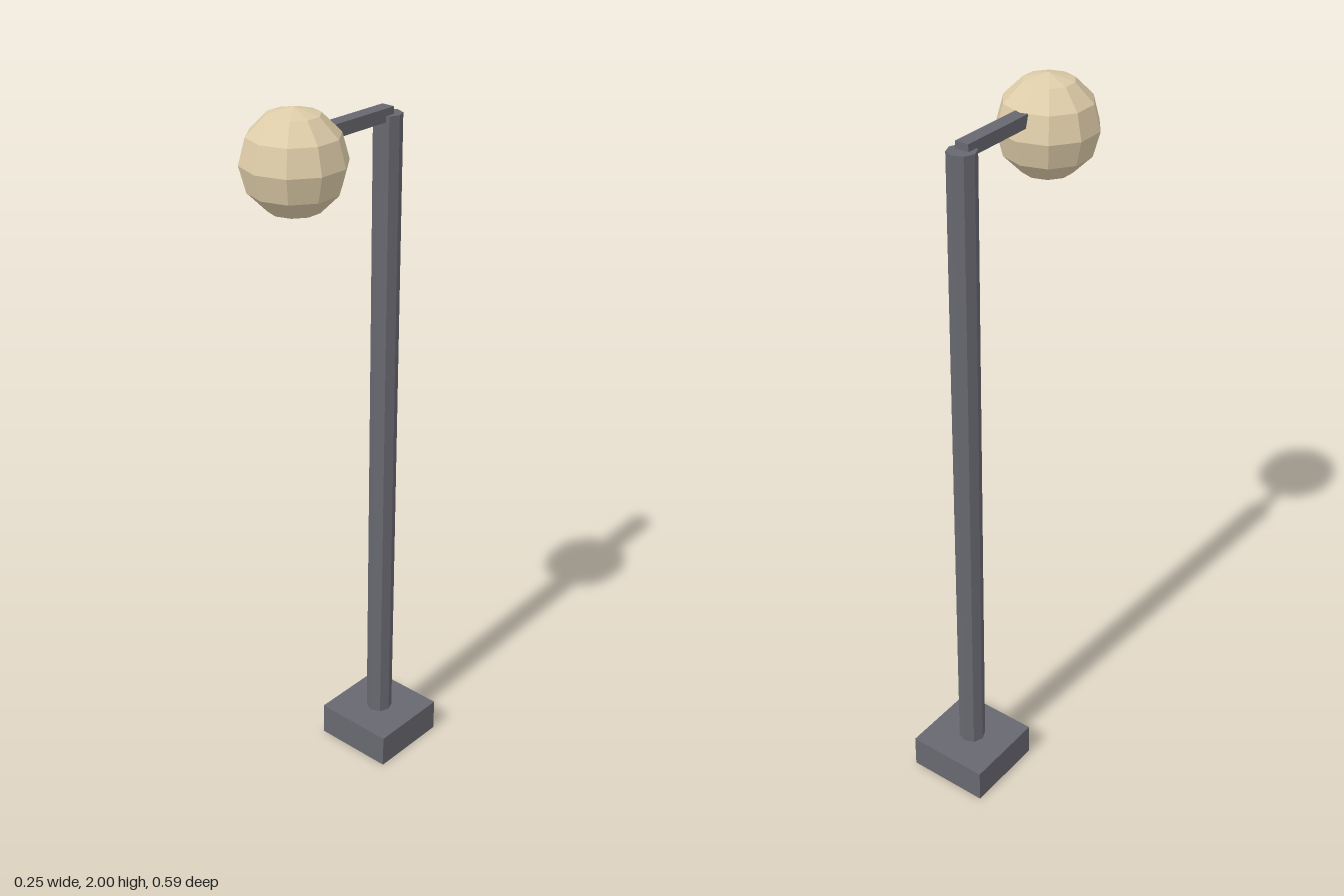
import * as THREE from 'three';

export function createModel() {
  const model = new THREE.Group();
  const metal = new THREE.MeshStandardMaterial({ name: 'darkGrey', color: 0x686870, flatShading: true });
  const glass = new THREE.MeshStandardMaterial({ name: 'warmCream', color: 0xddcca8, flatShading: true });

  const add = (name, geometry, material, x, y, z) => {
    const mesh = new THREE.Mesh(geometry, material);
    mesh.name = name;
    mesh.position.set(x, y, z);
    model.add(mesh);
    return mesh;
  };

  const poleZ = -0.176;
  const globeZ = 0.161;

  // Square foot and octagonal pole
  add('base', new THREE.BoxGeometry(0.238, 0.097, 0.238), metal, 0, 0.0485, poleZ);
  add('pole', new THREE.CylinderGeometry(0.0375, 0.0375, 1.818, 8), metal, 0, 1.006, poleZ);

  // Arm from the pole's axis into the globe
  add('arm', new THREE.BoxGeometry(0.038, 0.034, globeZ - poleZ), metal, 0, 1.917, (globeZ + poleZ) / 2);

  // Faceted lamp globe, with a corner facing forwards
  const globe = add('lampGlobe', new THREE.SphereGeometry(0.1325, 10, 6), glass, 0, 1.8675, globeZ);
  globe.rotation.y = Math.PI / 2;

  return model;
}
